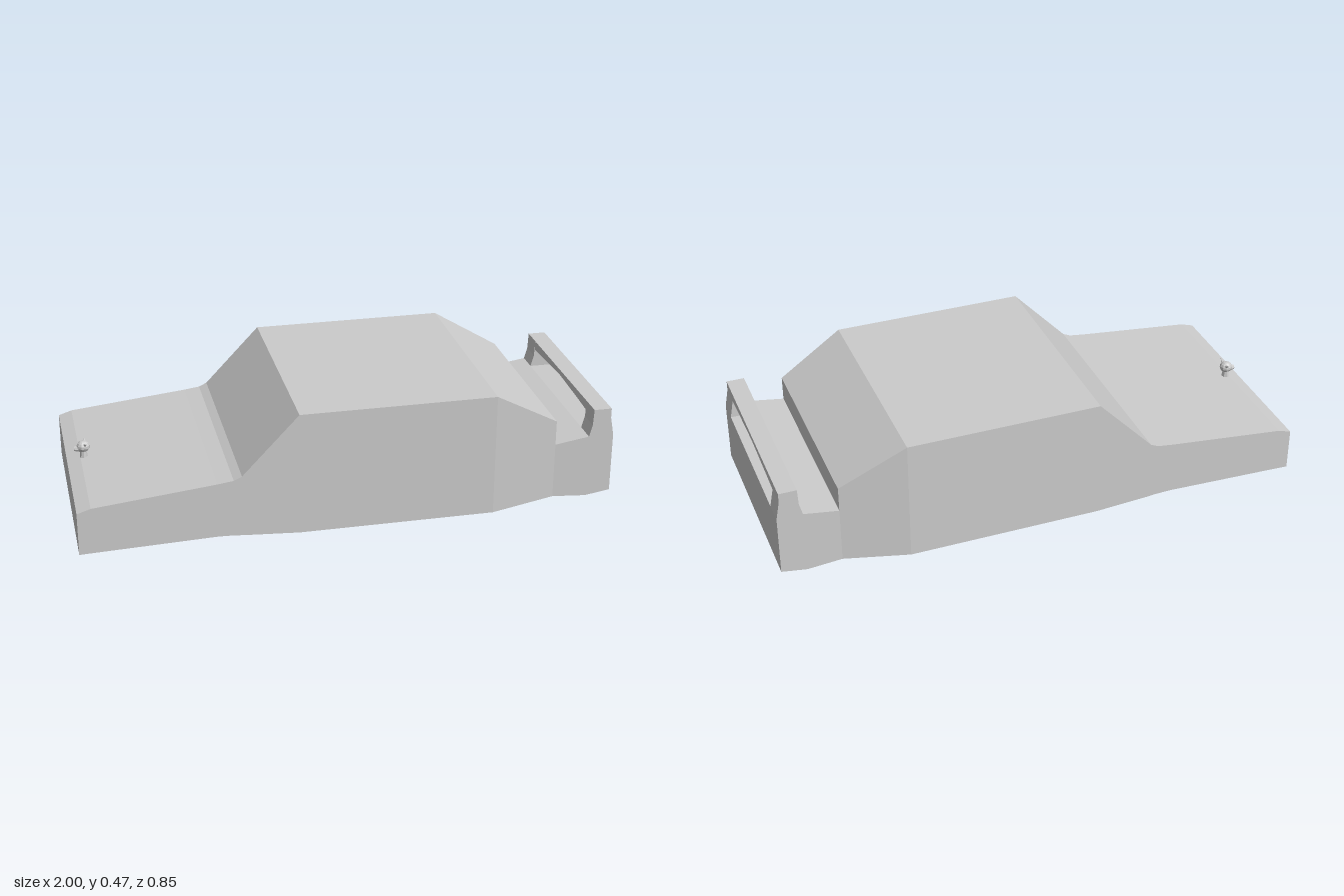
import * as THREE from 'three';

const material = new THREE.MeshStandardMaterial({ color: 0xcccccc, flatShading: true });

function part(name, geometry, parent) {
  const mesh = new THREE.Mesh(geometry, material);
  mesh.name = name;
  parent.add(mesh);
  return mesh;
}

// Skin rectangular sections [x, bottom, top, halfWidth] along x, capped at both ends
function loft(sections) {
  const pos = [], idx = [];
  for (const [x, b, t, w] of sections) pos.push(x, b, w, x, t, w, x, t, -w, x, b, -w);
  for (let i = 0; i < sections.length - 1; i++) {
    for (let j = 0; j < 4; j++) {
      const k = (j + 1) % 4, p = i * 4, q = p + 4;
      idx.push(p + j, q + j, q + k, p + j, q + k, p + k);
    }
  }
  const e = (sections.length - 1) * 4;
  idx.push(0, 1, 2, 0, 2, 3, e, e + 2, e + 1, e, e + 3, e + 2);
  const g = new THREE.BufferGeometry();
  g.setAttribute('position', new THREE.Float32BufferAttribute(pos, 3));
  g.setIndex(idx);
  const flat = g.toNonIndexed();
  flat.computeVertexNormals();
  return flat;
}

function extrude(points, depth) {
  const shape = new THREE.Shape(points.map(([x, y]) => new THREE.Vector2(x, y)));
  return new THREE.ExtrudeGeometry(shape, { depth, bevelEnabled: false });
}

export function createModel() {
  const model = new THREE.Group();
  model.name = 'carBody';

  // Hood, cabin and tapering tail in one shell
  const W = 0.425, T = 0.385;
  part('bodyShell', loft([
    [-1, 0.002, 0.165, W],
    [-0.95, 0.004, 0.181, W],
    [-0.5, 0.018, 0.228, W],
    [-0.44, 0.016, 0.236, W],
    [-0.41, 0.013, 0.25, W],
    [-0.2, 0, 0.47, W],
    [0.53, 0, 0.47, W],
    [0.775, 0.02, 0.33, T],
    [0.775, 0.02, 0.235, T],
    [0.905, 0.01, 0.255, T],
    [1, 0.025, 0.255, T],
  ]), model);

  // Rear wing: two posts and a bar with an arched underside
  const wing = new THREE.Group();
  wing.name = 'rearWing';
  model.add(wing);
  const post = [[0.905, 0.255], [1, 0.255], [0.987, 0.325], [0.987, 0.362], [0.92, 0.362], [0.917, 0.3]];
  for (const [name, z] of [['wingPostLeft', 0.3], ['wingPostRight', -T]]) {
    part(name, extrude(post, T - 0.3), wing).position.z = z;
  }
  const bar = extrude([[-0.3, 0.325], [-0.2, 0.332], [0, 0.342], [0.2, 0.332], [0.3, 0.325],
    [0.3, 0.362], [-0.3, 0.362]], 0.067);
  bar.rotateY(Math.PI / 2);
  part('wingBar', bar, wing).position.x = 0.92;

  // Small horned head on a stem at the nose
  const ornament = new THREE.Group();
  ornament.name = 'hoodOrnament';
  ornament.position.set(-0.937, 0.18, 0);
  model.add(ornament);
  part('ornamentStem', new THREE.CylinderGeometry(0.012, 0.016, 0.03, 8), ornament).position.y = 0.01;
  const head = part('ornamentHead', new THREE.SphereGeometry(0.024, 10, 7), ornament);
  head.position.y = 0.044;
  head.scale.set(1.05, 0.9, 1);
  const muzzle = part('ornamentMuzzle', new THREE.CylinderGeometry(0.009, 0.014, 0.02, 8), ornament);
  muzzle.rotation.z = Math.PI / 2;
  muzzle.position.set(-0.024, 0.036, 0);
  for (const s of [1, -1]) {
    const horn = part(s > 0 ? 'hornLeft' : 'hornRight', new THREE.ConeGeometry(0.008, 0.03, 6), ornament);
    horn.position.set(0.006, 0.058, s * 0.024);
    horn.rotation.x = s * 1.1;
  }
  return model;
}
